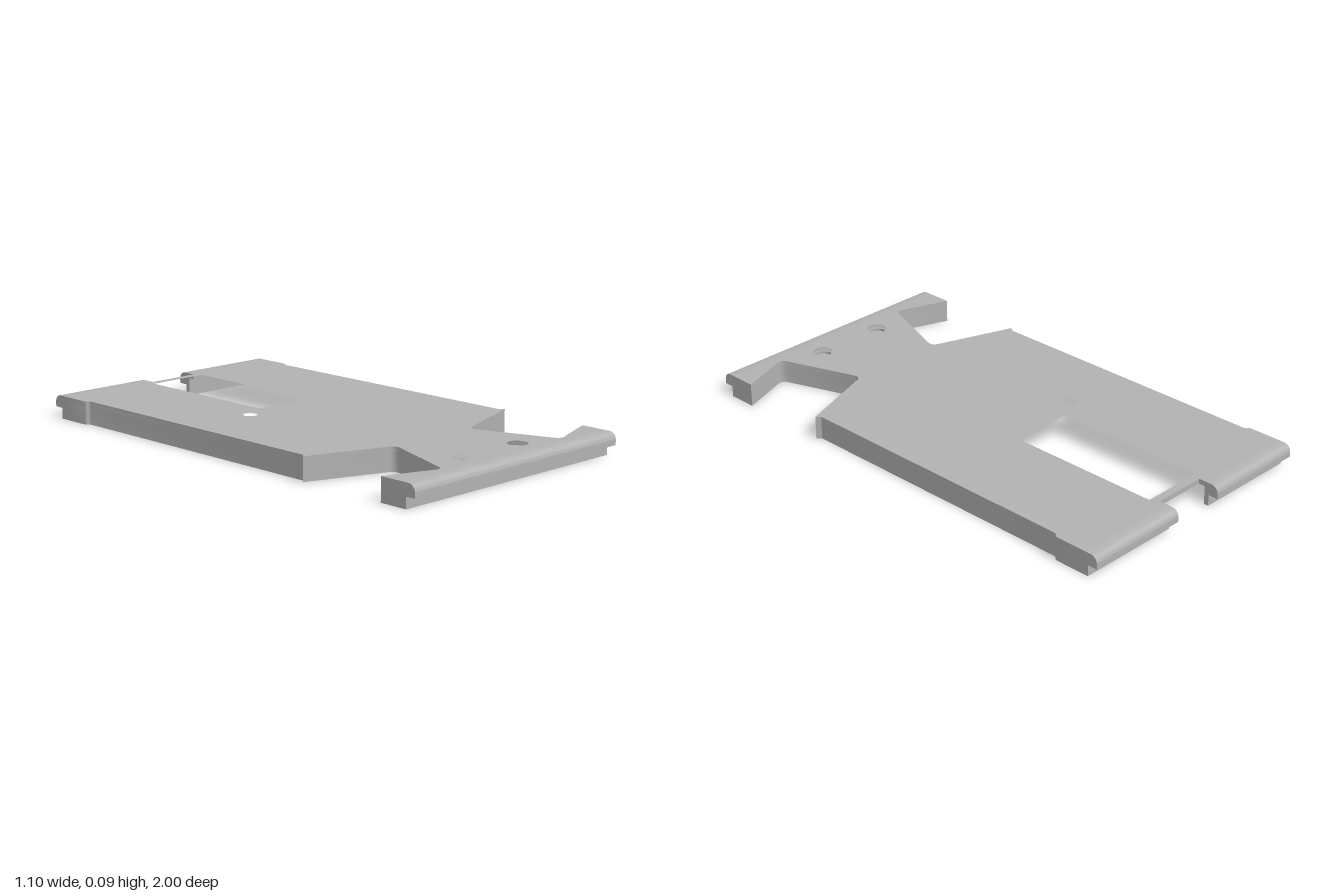
import * as THREE from 'three';
import { toCreasedNormals } from 'three/addons/utils/BufferGeometryUtils.js';

const TOP = 0.095, SKIN = 0.02, WALL = 0.02;
const HALF = 0.548, NOTCH = 0.111, LIP_IN = 0.94, WALL_OUT = 0.96;

// Right-hand contour from the rear to the front, as [x, z]
const side = [
  [HALF, -0.815], [0.545, -0.805], [0.535, -0.797], [0.532, -0.787],
  [0.532, 0.437], [HALF, 0.453],
  [0.222, 0.568], [0.212, 0.575], [0.206, 0.587], [0.207, 0.602],
  [0.314, 0.895], [0.321, 0.907], [0.332, 0.914], [0.345, 0.913],
  [HALF, 0.84],
];

const mirrored = (half) => [...half, ...half.map(([x, z]) => [-x, z]).reverse()];
const toShape = (pts) => new THREE.Shape(pts.map(([x, z]) => new THREE.Vector2(x, -z)));

// Moves an open path sideways by d with mitred corners
function offsetPath(pts, d) {
  const normal = (a, b) => {
    const dx = b[0] - a[0], dz = b[1] - a[1], l = Math.hypot(dx, dz);
    return [-dz / l, dx / l];
  };
  return pts.map((p, i) => {
    const n1 = normal(pts[Math.max(i - 1, 0)], pts[Math.max(i, 1)]);
    const last = pts.length - 1;
    const n2 = normal(pts[Math.min(i, last - 1)], pts[Math.min(i + 1, last)]);
    const k = d / (1 + n1[0] * n2[0] + n1[1] * n2[1]);
    return [p[0] + (n1[0] + n2[0]) * k, p[1] + (n1[1] + n2[1]) * k];
  });
}

function circleHole(x, z, r) {
  return new THREE.Path().absarc(x, -z, r, 0, Math.PI * 2, true);
}

// Extrudes a plan shape upward from y0 to y1
function slab(shape, y0, y1) {
  const g = new THREE.ExtrudeGeometry(shape, { depth: y1 - y0, bevelEnabled: false, curveSegments: 16 });
  g.rotateX(-Math.PI / 2).translate(0, y0, 0);
  return toCreasedNormals(g, 0.6);
}

// Overhanging end lip with a rounded top edge, running along x
function lip(width) {
  const r = 0.03;
  const s = new THREE.Shape();
  s.moveTo(LIP_IN, 0.045);
  s.lineTo(1, 0.045);
  s.lineTo(1, TOP - r);
  s.absarc(1 - r, TOP - r, r, 0, Math.PI / 2, false);
  s.lineTo(LIP_IN, TOP);
  s.closePath();
  const g = new THREE.ExtrudeGeometry(s, { depth: width, bevelEnabled: false, curveSegments: 8 });
  g.translate(0, 0, -width / 2).rotateY(-Math.PI / 2);
  return toCreasedNormals(g, 0.6);
}

export function createModel() {
  const model = new THREE.Group();
  model.name = 'coverShell';
  const grey = new THREE.MeshStandardMaterial({ color: 0xb2b2b2 });
  grey.name = 'grey';
  const add = (name, geometry) => {
    const mesh = new THREE.Mesh(geometry, grey);
    mesh.name = name;
    model.add(mesh);
    return mesh;
  };

  // Top plate with window, pin hole and screw holes
  const plate = toShape(mirrored([[NOTCH, -0.913], [NOTCH, -LIP_IN], [HALF, -LIP_IN], ...side, [HALF, LIP_IN]]));
  const window = [[-0.131, -0.88], [0.131, -0.88], [0.131, -0.23], [-0.131, -0.23]];
  plate.holes.push(new THREE.Path(window.map(([x, z]) => new THREE.Vector2(x, -z))));
  plate.holes.push(circleHole(-0.233, -0.172, 0.028));
  for (const s of [-1, 1]) plate.holes.push(circleHole(s * 0.151, 0.857, 0.04));
  add('topPlate', slab(plate, TOP - SKIN, TOP));

  // Thin skirt wall following the contour, open at the rear notch
  const outer = mirrored([[NOTCH, -WALL_OUT], [HALF, -WALL_OUT], ...side, [HALF, WALL_OUT]]);
  const inner = offsetPath(outer, WALL);
  add('skirtWall', slab(toShape([...outer, ...inner.reverse()]), 0, TOP - SKIN));

  // End lips
  add('frontLip', lip(HALF * 2));
  for (const s of [-1, 1]) {
    const rear = add(s > 0 ? 'rearLipLeft' : 'rearLipRight', lip(HALF - NOTCH));
    rear.rotation.y = Math.PI;
    rear.position.x = s * (HALF + NOTCH) / 2;
  }

  // Counterbored screw bosses under the plate
  const profile = [
    [0.021, 0.005], [0.048, 0.005], [0.048, 0.076], [0.04, 0.076],
    [0.04, 0.065], [0.021, 0.065], [0.021, 0.005],
  ].map(([r, y]) => new THREE.Vector2(r, y));
  for (const s of [-1, 1]) {
    const boss = add(s > 0 ? 'screwBossLeft' : 'screwBossRight',
      toCreasedNormals(new THREE.LatheGeometry(profile, 32), 0.6));
    boss.position.set(s * 0.151, 0, 0.857);
  }
  return model;
}
